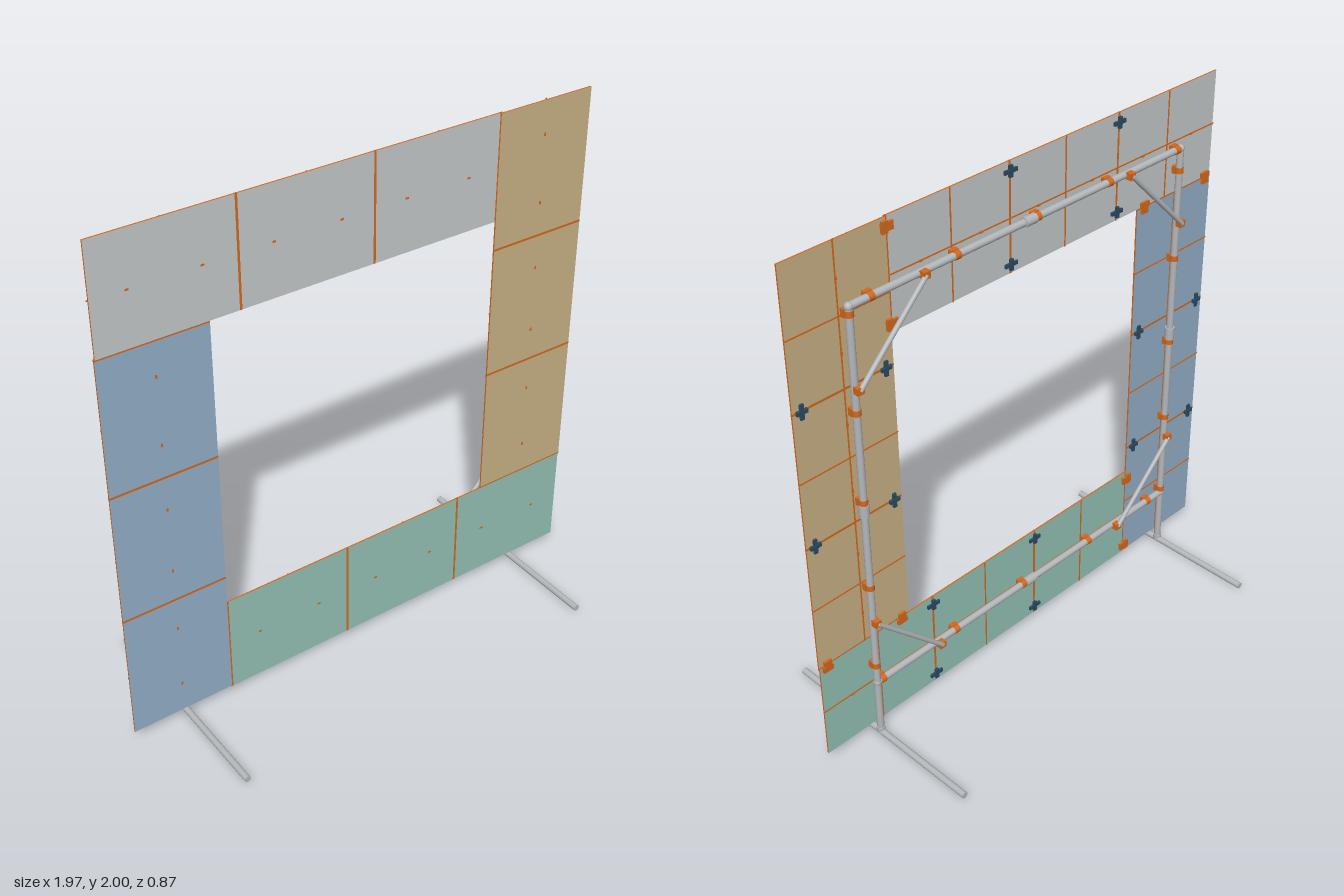
import * as THREE from 'three';

const mat = (name, color) => {
  const m = new THREE.MeshStandardMaterial({ color });
  m.name = name;
  return m;
};

export function createModel() {
  const orange = mat('orange plastic', 0xd4691e);
  const dark = mat('dark blue plastic', 0x2c4a62);
  const metal = mat('grey tube', 0xb4b7ba);
  const arms = [
    ['top', mat('pale grey', 0xc4c8c8)],
    ['left', mat('tan', 0xc8b184)],
    ['bottom', mat('sea green', 0x94c1b4)],
    ['right', mat('soft blue', 0x93aec7)],
  ];

  const model = new THREE.Group();
  model.name = 'panelFrame';
  const CY = 1.0175, HALF = 0.983, INNER = 0.577, ZB = 0.031, ZF = 0.037;
  const MID = (HALF + INNER) / 2, STEP = (HALF + INNER) / 3, TUBE = 0.763;

  const box = (parent, name, m, w, h, d, x, y, z) => {
    const b = new THREE.Mesh(new THREE.BoxGeometry(w, h, d), m);
    b.name = name;
    b.position.set(x, y, z);
    parent.add(b);
    return b;
  };
  // round tube between two points
  const tube = (parent, name, m, a, b, r) => {
    const p = new THREE.Vector3(...a), q = new THREE.Vector3(...b);
    const t = new THREE.Mesh(new THREE.CylinderGeometry(r, r, p.distanceTo(q), 20), m);
    t.name = name;
    t.position.copy(p).add(q).multiplyScalar(0.5);
    t.quaternion.setFromUnitVectors(new THREE.Vector3(0, 1, 0), q.sub(p).normalize());
    parent.add(t);
  };

  // four identical sides in a pinwheel, each turned a quarter
  arms.forEach(([side, paint], i) => {
    const arm = new THREE.Group();
    arm.name = side + 'Side';
    arm.position.y = CY;
    arm.rotation.z = -i * Math.PI / 2;
    model.add(arm);

    // three panels with orange rims, coloured front and back
    const rim = [orange, orange, orange, orange, paint, paint];
    for (let k = 0; k < 3; k++) {
      const x = -HALF + (k + 0.5) * STEP;
      box(arm, 'panel', rim, STEP - 0.009, HALF - INNER - 0.002, ZF - ZB, x, MID, (ZF + ZB) / 2);
      // strip filling the joint, and the thin rib behind the panel middle
      box(arm, 'jointStrip', orange, 0.009, HALF - INNER, ZF - ZB - 0.001, x + STEP / 2, MID, (ZF + ZB) / 2);
      box(arm, 'backRib', orange, 0.005, HALF - INNER, 0.002, x, MID, ZB - 0.001);
      // small pins showing through to the front
      for (const s of [-1, 1])
        box(arm, 'pin', orange, 0.013, 0.007, 0.012, x + s * STEP / 4, MID, 0.0325);

      // joint connectors near both panel edges
      const seam = x + STEP / 2;
      for (const y of [INNER + 0.035, HALF - 0.035]) {
        if (k < 2) {
          box(arm, 'jointClip', dark, 0.056, 0.014, 0.008, seam, y, ZB - 0.004);
          box(arm, 'jointClipBar', dark, 0.014, 0.042, 0.01, seam, y, ZB - 0.005);
        } else {
          box(arm, 'cornerClip', orange, 0.046, 0.03, 0.01, seam, y, ZB - 0.005);
          box(arm, 'cornerClipTab', orange, 0.022, 0.042, 0.01, seam + 0.01, y, ZB - 0.005);
        }
      }
    }
    box(arm, 'lengthRib', orange, HALF + INNER, 0.005, 0.002, (INNER - HALF) / 2, MID, ZB - 0.001);

    // support tube with its middle sleeve
    tube(arm, 'supportTube', metal, [-TUBE, TUBE, 0], [TUBE, TUBE, 0], 0.013);
    tube(arm, 'sleeve', metal, [-0.025, TUBE, 0], [0.025, TUBE, 0], 0.018);
    const elbow = new THREE.Mesh(new THREE.SphereGeometry(0.015, 16, 12), metal);
    elbow.name = 'elbow';
    elbow.position.set(TUBE, TUBE, 0);
    arm.add(elbow);

    // holders between tube and panels
    for (const x of [-0.74, -0.385, -0.035, 0.325, 0.68]) {
      box(arm, 'tubeHolder', orange, 0.03, 0.032, 0.016, x, TUBE, 0.014);
      tube(arm, 'holderRing', orange, [x - 0.011, TUBE, 0], [x + 0.011, TUBE, 0], 0.0155);
    }

    // corner brace and its two end clips
    tube(arm, 'brace', metal, [0.475, TUBE, -0.027], [TUBE, 0.475, -0.027], 0.009);
    box(arm, 'braceClip', orange, 0.026, 0.026, 0.024, 0.475, TUBE, -0.02);
    box(arm, 'braceClip', orange, 0.026, 0.026, 0.024, TUBE, 0.475, -0.02);
  });

  // legs and long feet
  for (const s of [-1, 1]) {
    tube(model, 'leg', metal, [s * TUBE, 0.015, 0], [s * TUBE, 0.27, 0], 0.013);
    tube(model, 'foot', metal, [s * TUBE, 0.0125, -0.436], [s * TUBE, 0.0125, 0.436], 0.0125);
    tube(model, 'footSocket', metal, [s * TUBE, 0.012, 0], [s * TUBE, 0.035, 0], 0.016);
  }
  return model;
}
